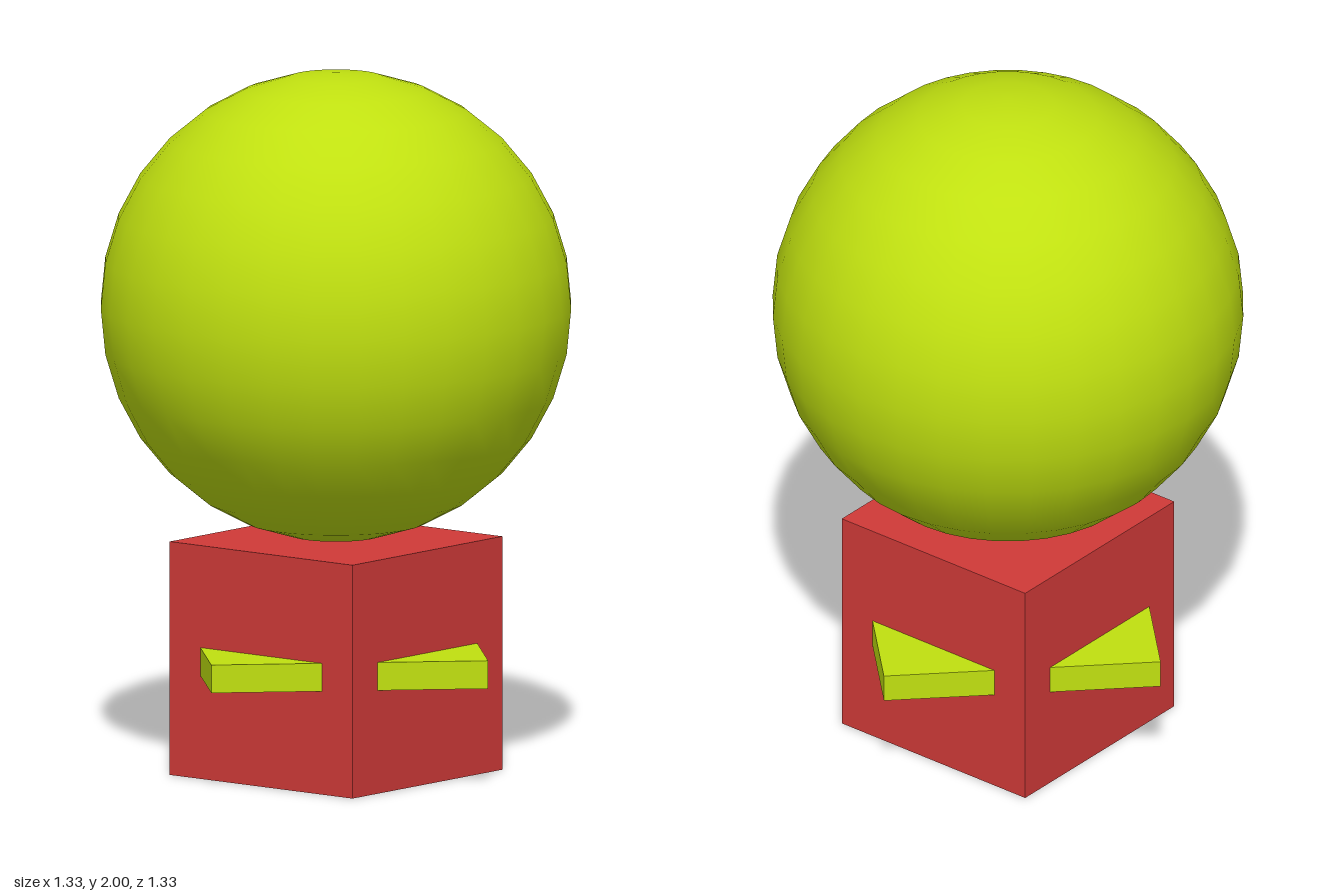
import * as THREE from 'three';

const UNIT = 2 / 3; // edge of the base cube, radius of the ball

export function createModel() {
  const model = new THREE.Group();
  const lime = new THREE.MeshStandardMaterial({ color: 0xc0e010 });
  const red = new THREE.MeshStandardMaterial({ color: 0xd03a38 });

  const add = (name, geometry, material, y) => {
    const mesh = new THREE.Mesh(geometry, material);
    mesh.name = name;
    mesh.position.y = y;
    model.add(mesh);
    return mesh;
  };

  // Cube base and the ball resting on it
  add('base', new THREE.BoxGeometry(UNIT, UNIT, UNIT), red, UNIT / 2);
  add('ball', new THREE.SphereGeometry(UNIT, 32, 16), lime, UNIT * 2);

  // Square plate turned 45 degrees, its corners poking out of the four cube sides
  const side = 0.555 * Math.SQRT2;
  const plate = add('cornerPlate', new THREE.BoxGeometry(side, 0.08, side), lime, 0.335);
  plate.rotation.y = Math.PI / 4;

  return model;
}
